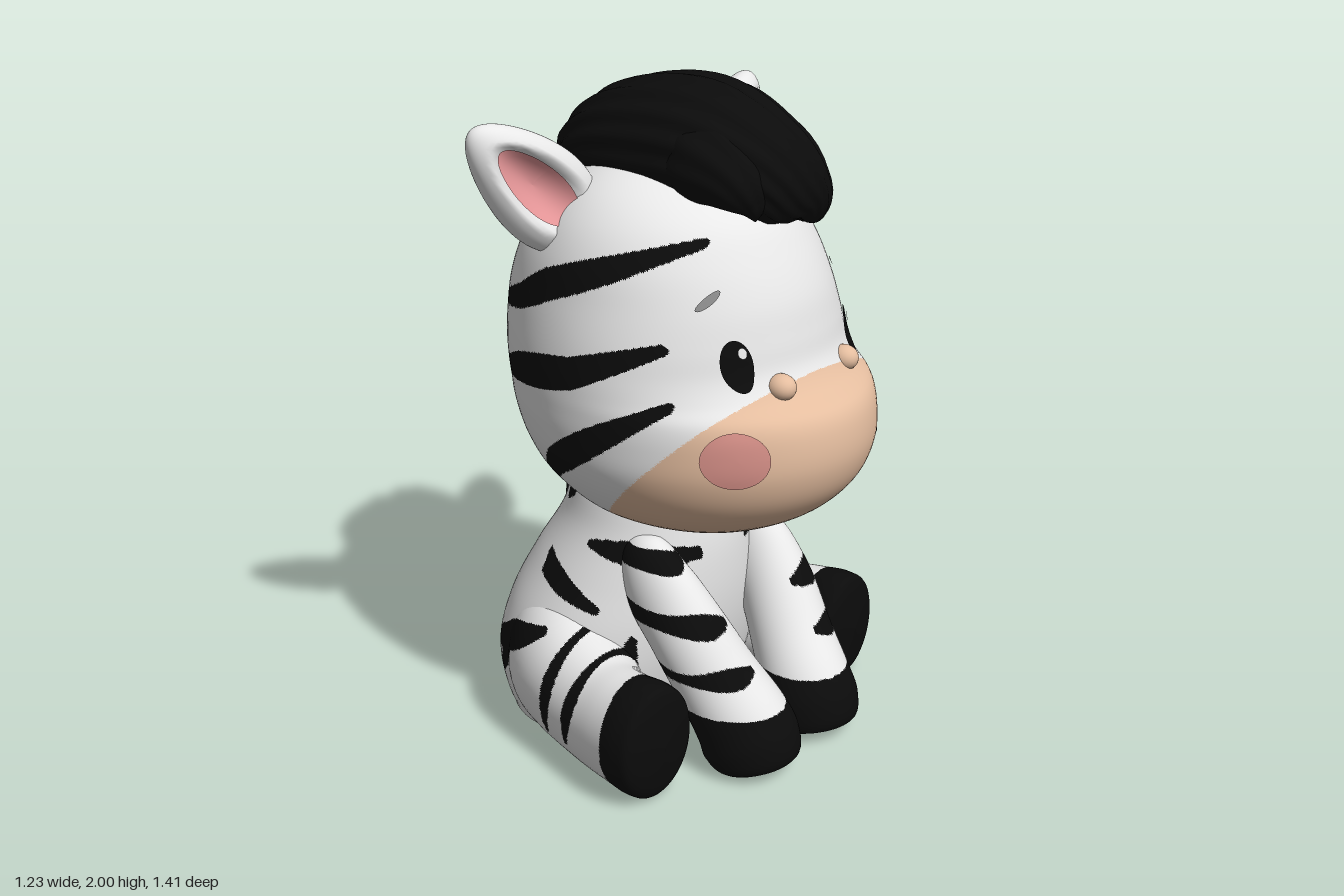
import * as THREE from 'three';

const mat = (name, color) => Object.assign(new THREE.MeshStandardMaterial({ color }), { name });
const white = mat('coatWhite', 0xe8e8e8), black = mat('stripeBlack', 0x0b0b0b), beige = mat('muzzleBeige', 0xe4bd9f);
const earPink = mat('earPink', 0xe8989a), blush = mat('cheekBlush', 0xd69088), grey = mat('browGrey', 0x8a8a8a);
const V = (x, y, z) => new THREE.Vector3(x, y, z);

// Smooth interpolation of every column in a table of rows, t in 0..1
function sample(rows, t) {
  const n = rows.length - 1, i = Math.min(n - 1, Math.floor(t * n)), f = t * n - i;
  const [a, b, c, d] = [-1, 0, 1, 2].map(k => rows[Math.max(0, Math.min(n, i + k))]);
  return b.map((_, k) => b[k] + 0.5 * f * (c[k] - a[k]
    + f * (2 * a[k] - 5 * b[k] + 4 * c[k] - d[k] + f * (3 * (b[k] - c[k]) + d[k] - a[k]))));
}

// Sweeps ovals along rows of [x, y, z, r1, r2, r3], r3 being the far side; without a hint the rings stay level
function sweep(rows, around, along, hint = null, ridge = () => 1) {
  const pos = [], index = [];
  const centre = t => V(...sample(rows, Math.max(0, Math.min(1, t))).slice(0, 3));
  for (let i = 0; i <= along; i++) {
    const t = i / along, [x, y, z, r1, r2, r3 = r2] = sample(rows, t);
    let A = V(1, 0, 0), B = V(0, 0, -1);
    if (hint) {
      const T = centre(t + 0.01).sub(centre(t - 0.01)).normalize();
      A = hint.clone().cross(T).normalize();
      B = T.cross(A);
    }
    for (let j = 0; j < around; j++) {
      const a = j / around * Math.PI * 2, k = ridge(a, t);
      const p = V(x, y, z).addScaledVector(A, Math.max(0, r1) * k * Math.cos(a))
        .addScaledVector(B, Math.max(0, Math.sin(a) < 0 ? r3 : r2) * k * Math.sin(a));
      pos.push(p.x, Math.max(0, p.y), p.z);
      const q = i * around + j, r = i * around + (j + 1) % around;
      if (i < along) index.push(q, r, q + around, r, r + around, q + around);
    }
  }
  const g = new THREE.BufferGeometry().setIndex(index);
  g.setAttribute('position', new THREE.Float32BufferAttribute(pos, 3));
  g.computeVertexNormals();
  return g;
}

// Sorts faces into material groups by a rule on position, dividing faces along the colour borders
function paint(g, count, pick) {
  const P = [...g.attributes.position.array], N = [...g.attributes.normal.array], src = g.index.array;
  const bins = Array.from({ length: count }, () => []);
  const half = (a, b) => {
    for (const list of [P, N]) for (let i = 0; i < 3; i++) list.push((list[3 * a + i] + list[3 * b + i]) / 2);
    return P.length / 3 - 1;
  };
  const place = (a, b, c, depth) => {
    const [u, v, w] = [a, b, c].map(k => pick(P[3 * k], P[3 * k + 1], P[3 * k + 2]));
    if (!depth || (u === v && v === w)) return bins[u === v || u === w ? u : v].push(a, b, c);
    const d = half(a, b), e = half(b, c), f = half(c, a);
    return [[a, d, f], [d, b, e], [f, e, c], [d, e, f]].forEach(t => place(...t, depth - 1));
  };
  for (let i = 0; i < src.length; i += 3) place(src[i], src[i + 1], src[i + 2], 2);
  g.setAttribute('position', new THREE.Float32BufferAttribute(P, 3));
  g.setAttribute('normal', new THREE.Float32BufferAttribute(N, 3));
  g.setIndex(bins.flat());
  bins.reduce((start, b, m) => (g.addGroup(start, b.length, m), start + b.length), 0);
  return g;
}

// Stripes are [halfWidth, a0, b0, a1, b1, ...], tapering towards both ends
function striped(a, b, stripes) {
  return stripes.some(([w, ...p]) => {
    const n = p.length / 2 - 1;
    for (let i = 0; i < n; i++) {
      const [x0, y0, x1, y1] = p.slice(2 * i, 2 * i + 4), dx = x1 - x0, dy = y1 - y0;
      const t = Math.max(0, Math.min(1, ((a - x0) * dx + (b - y0) * dy) / (dx * dx + dy * dy)));
      const width = w * (0.35 + 0.65 * Math.sin(Math.PI * (i + t) / n));
      if (Math.hypot(a - x0 - t * dx, b - y0 - t * dy) < width) return true;
    }
    return false;
  });
}

// Level outlines: y, half width, front z, back z, z of the widest point
const level = rows => rows.map(([y, w, f, b, c = (f + b) / 2]) => [0, y, c, w, c - b, f - c]);
const headRows = level([
  [0.70, 0, 0.24, 0.24, 0.24], [0.712, 0.16, 0.42, 0.06, 0.24], [0.74, 0.27, 0.49, 0, 0.22],
  [0.80, 0.39, 0.595, -0.14, 0.19], [0.88, 0.46, 0.67, -0.28, 0.17], [0.97, 0.5, 0.705, -0.345, 0.15],
  [1.06, 0.512, 0.705, -0.385, 0.13], [1.13, 0.513, 0.68, -0.4, 0.12], [1.18, 0.511, 0.615, -0.41, 0.11],
  [1.24, 0.506, 0.573, -0.417, 0.1], [1.32, 0.493, 0.553, -0.418, 0.09], [1.42, 0.47, 0.525, -0.405, 0.07],
  [1.53, 0.44, 0.47, -0.36, 0.06], [1.63, 0.385, 0.4, -0.29, 0.05], [1.71, 0.3, 0.29, -0.2, 0.04],
  [1.755, 0.19, 0.17, -0.09, 0.04], [1.775, 0, 0.04, 0.04, 0.04]]);
const bodyRows = level([
  [0, 0, -0.1, -0.1], [0, 0.36, 0.17, -0.4], [0.03, 0.42, 0.2, -0.445], [0.2, 0.46, 0.25, -0.475], [0.35, 0.425, 0.28, -0.45],
  [0.5, 0.355, 0.29, -0.38], [0.65, 0.285, 0.28, -0.29], [0.8, 0.24, 0.24, -0.24], [0.95, 0.15, 0.15, -0.15]]);

const headStripes = [
  [0.045, 0.36, 1.59, 0.2, 1.53, 0, 1.46, -0.12, 1.4, -0.3, 1.34],
  [0.05, 0.36, 1.33, 0.12, 1.24, -0.1, 1.2, -0.27, 1.15], [0.045, 0.4, 1.18, 0.2, 1.06, 0.05, 0.96, -0.06, 0.86]];
const bodyStripes = [
  [0.04, -0.1, 0.77, -0.24, 0.7], [0.035, 0.07, 0.44, -0.15, 0.52, -0.33, 0.59],
  [0.04, -0.05, 0.37, -0.2, 0.3, -0.38, 0.2], [0.03, -0.19, 0.3, -0.29, 0.14],
  [0.035, 0.3, 0.6, 0.15, 0.61, 0, 0.62], [0.025, 0.17, 0.36, 0.15, 0.24, 0.13, 0.11]];
const rightLegStripes = [...bodyStripes, [0.025, 0.06, 0.4, 0.04, 0.25, 0.03, 0.1]];
const frontLegStripes = [
  [0.035, 0.36, 0.47, 0.17, 0.45], [0.03, 0.34, 0.31, 0.16, 0.32], [0.03, 0.34, 0.62, 0.19, 0.62]];

// Depth of the face at a given x and y
function faceZ(x, y) {
  let lo = 0, hi = 1;
  for (let i = 0; i < 24; i++) {
    const m = (lo + hi) / 2;
    if (sample(headRows, m)[1] < y) lo = m; else hi = m;
  }
  const [, , z, w, , d] = sample(headRows, lo);
  return z + d * Math.sqrt(Math.max(0, 1 - (x / w) ** 2));
}

// Moves every vertex by a rule
function reshape(g, rule) {
  const p = g.attributes.position;
  for (let i = 0; i < p.count; i++) p.setXYZ(i, ...rule(p.getX(i), p.getY(i), p.getZ(i)));
  g.computeVertexNormals();
  return g;
}

// Thin oval, and one that follows the face
const oval = (rx, ry) => new THREE.RingGeometry(0, 1, 36, 5).scale(rx, ry, 1);
const decal = (x, y, rx, ry, lift, turn = 0) =>
  reshape(oval(rx, ry).rotateZ(turn).translate(x, y, 0), (u, v) => [u, v, faceZ(u, v) + lift]);

// Leaf shape with a hollow front, for the ear
function leaf(x, y, z) {
  const hollow = z > 0 ? Math.max(0, 1 - (x / 0.62) ** 2 - (y / 0.75) ** 2) : 0;
  return [0.135 * x * (1 - 0.28 * y), 0.24 * y, 0.078 * z - 0.075 * hollow];
}

export function createModel() {
  const model = new THREE.Group(), coat = [white, black];
  const add = (name, g, m) => {
    const mesh = Object.assign(new THREE.Mesh(g, m), { name });
    model.add(mesh);
    return mesh;
  };
  // Head with muzzle, side stripes and two spots at the back
  add('head', paint(sweep(headRows, 120, 90), 3, (x, y, z) => {
    if (z > 0.1 && y - 1.235 < z - 0.6) return 2;
    const spot = x < -0.1 && z < -0.1 && [1.06, 1.26].some(h => Math.hypot((x + 0.31) / 1.3, y - h) < 0.036);
    return spot || (Math.abs(x) > 0.12 && striped(z, y, headStripes)) ? 1 : 0;
  }), [white, black, beige]);
  // Pear-shaped body
  add('body', paint(sweep(bodyRows, 84, 56), 2, (x, y, z) => Math.abs(x) > 0.1
    && (x > 0 || z > -0.17 || y < 0.45) && striped(z, y, bodyStripes) ? 1 : 0), coat);

  for (const s of [1, -1]) {
    const side = s > 0 ? 'left' : 'right', mirror = rows => rows.map(([x, ...r]) => [x * s, ...r]);
    // Hind leg lying forward, hoof at the end
    add(side + 'HindLeg', paint(sweep(mirror([
      [0.2, 0.2, -0.33, 0, 0], [0.21, 0.2, -0.3, 0.08, 0.12], [0.26, 0.21, -0.2, 0.145, 0.2],
      [0.325, 0.21, -0.08, 0.18, 0.22], [0.38, 0.185, 0.05, 0.17, 0.195], [0.43, 0.17, 0.18, 0.145, 0.175],
      [0.46, 0.175, 0.29, 0.14, 0.174], [0.47, 0.178, 0.38, 0.145, 0.178], [0.473, 0.178, 0.425, 0.12, 0.15],
      [0.474, 0.178, 0.445, 0, 0]]), 56, 56, V(0, 1, 0)), 2, (x, y, z) => z > 0.31 || (y > 0.06
      && Math.abs(x) > 0.3 && striped(z, y, s > 0 ? bodyStripes : rightLegStripes)) ? 1 : 0), coat);
    // Front leg
    add(side + 'FrontLeg', paint(sweep(mirror([
      [0.22, 0.67, 0.12, 0, 0], [0.222, 0.63, 0.14, 0.07, 0.06], [0.226, 0.52, 0.21, 0.12, 0.092],
      [0.215, 0.4, 0.31, 0.12, 0.117], [0.185, 0.26, 0.4, 0.125, 0.132], [0.16, 0.15, 0.47, 0.14, 0.145],
      [0.15, 0.08, 0.505, 0.148, 0.148], [0.147, 0.02, 0.52, 0.12, 0.12], [0.146, 0, 0.525, 0, 0]]),
    56, 50, V(1, 0, 0)), 2, (x, y) => y < 0.205 || striped(Math.abs(x), y, frontLegStripes) ? 1 : 0), coat);
    // Ear and its pink lining
    const Y = V(0.31 * s, 0.3, -0.1).normalize(), X = Y.clone().cross(V(0.3 * s, 0, 0.95)).normalize();
    const pose = new THREE.Matrix4().makeBasis(X, Y, X.clone().cross(Y)).setPosition(0.435 * s, 1.725, -0.075);
    add(side + 'Ear', reshape(new THREE.SphereGeometry(1, 48, 36), leaf).applyMatrix4(pose), white);
    add(side + 'EarLining', reshape(oval(0.48, 0.65), (x, y) => {
      const [u, v, w] = leaf(x, y, Math.sqrt(1 - x * x - y * y));
      return [u, v, w + 0.006];
    }).applyMatrix4(pose), earPink);
  }

  // Face details, turned very slightly to one side
  for (const [side, ex, ey, bx, by, nx, cx, cy, cr, turn] of [
    ['right', -0.25, 1.28, -0.28, 1.455, -0.135, -0.33, 1.045, 0.07, 0.6],
    ['left', 0.28, 1.255, 0.305, 1.44, 0.185, 0.35, 1.01, 0.06, -0.55]]) {
    add(side + 'Eye', decal(ex, ey, 0.043, 0.07, 0.008), black);
    add(side + 'EyeShine', decal(ex + 0.014, ey + 0.035, 0.012, 0.015, 0.014), white);
    add(side + 'Brow', decal(bx, by, 0.042, 0.01, 0.008, turn), grey);
    add(side + 'Cheek', decal(cx, cy, cr, 0.08, 0.007), blush);
    const nostril = add(side + 'Nostril', new THREE.SphereGeometry(1, 24, 16), beige);
    nostril.scale.set(0.042, 0.038, 0.045);
    nostril.position.set(nx, 1.205, faceZ(nx, 1.205) - 0.008);
  }
  add('mouth', decal(0.185, 1.015, 0.01, 0.007, 0.006), black);

  // Mane swept over the head, with a smaller lock beside it
  const lock = (name, rows, ridges) => add(name, sweep(rows, 80, 44, V(1, 0, 0),
    (a, t) => 1 + 0.03 * Math.cos(ridges * a + 5 * t)), black);
  lock('mane', [
    [0.195, 1.575, 0.41, 0, 0], [0.185, 1.61, 0.43, 0.035, 0.045], [0.15, 1.67, 0.425, 0.08, 0.1],
    [0.07, 1.745, 0.37, 0.13, 0.185], [0.025, 1.79, 0.23, 0.185, 0.228], [0.01, 1.8, 0.08, 0.19, 0.235],
    [0.02, 1.79, -0.07, 0.165, 0.23], [0.07, 1.74, -0.2, 0.14, 0.2], [0.17, 1.66, -0.31, 0.12, 0.14],
    [0.21, 1.58, -0.36, 0, 0]], 16);
  lock('sideLock', [[-0.07, 1.63, 0.42, 0, 0], [-0.085, 1.68, 0.42, 0.04, 0.05], [-0.1, 1.74, 0.37, 0.09, 0.1],
    [-0.08, 1.79, 0.24, 0.12, 0.13], [-0.05, 1.82, 0.1, 0, 0]], 9);

  // Three-strand braid hanging down the back
  const braid = [
    [0.12, 1.77, -0.17, 1], [0.21, 1.69, -0.3, 1.1], [0.26, 1.52, -0.4, 1.1], [0.255, 1.3, -0.45, 1], [0.235, 1.1, -0.45, 1],
    [0.22, 0.9, -0.44, 1], [0.21, 0.66, -0.41, 0.9], [0.2, 0.48, -0.43, 0.7], [0.19, 0.34, -0.465, 0.42], [0.19, 0.22, -0.48, 0.25]];
  for (let k = 0; k < 3; k++) {
    const rows = Array.from({ length: 61 }, (_, i) => {
      const [x, y, z, w] = sample(braid, i / 60), a = i / 60 * Math.PI * 6.4 + k * Math.PI * 2 / 3;
      const r = i % 60 ? 0.08 * w : 0;
      return [x + 0.06 * w * Math.cos(a), y, z + 0.05 * w * Math.sin(2 * a), r, r];
    });
    add('braidStrand' + (k + 1), sweep(rows, 30, 90, V(1, 0, 0), a => 1 + 0.06 * Math.cos(6 * a)), black);
  }

  // Tail curling up to a pointed tuft
  add('tail', sweep([
    [0.08, 0.08, -0.4, 0.06, 0.06], [0.19, 0.065, -0.51, 0.06, 0.06], [0.32, 0.06, -0.55, 0.057, 0.057],
    [0.43, 0.09, -0.555, 0.054, 0.054], [0.485, 0.19, -0.56, 0.05, 0.05], [0.495, 0.32, -0.58, 0.04, 0.04]], 24, 40, V(0, 0, 1)), white);
  add('tailTuft', sweep([
    [0.49, 0.265, -0.57, 0, 0], [0.49, 0.285, -0.575, 0.055, 0.055], [0.488, 0.34, -0.595, 0.092, 0.09],
    [0.492, 0.41, -0.62, 0.09, 0.085], [0.5, 0.475, -0.655, 0.05, 0.052], [0.51, 0.535, -0.7, 0, 0]],
  60, 30, V(1, 0, 0), a => 1 + 0.03 * Math.cos(10 * a)), black);
  return model;
}
